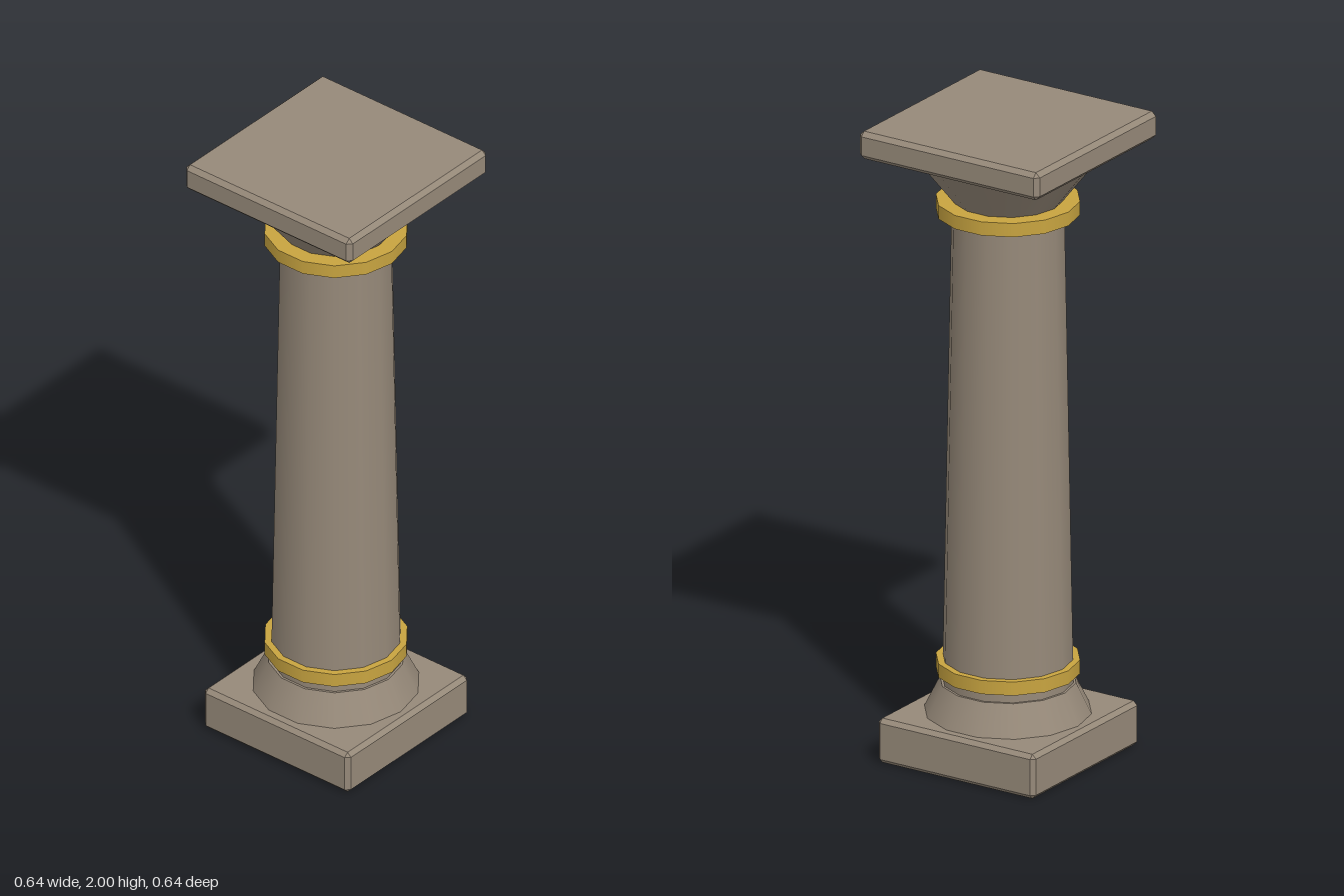
import * as THREE from 'three';
import { ConvexGeometry } from 'three/addons/geometries/ConvexGeometry.js';

const SIDES = 14;

// Square slab with all edges chamfered by c
function chamferedSlab(half, y0, y1, c) {
  const h = (y1 - y0) / 2;
  const points = [];
  for (const sx of [-1, 1]) for (const sy of [-1, 1]) for (const sz of [-1, 1]) {
    for (const [x, y, z] of [[0, c, c], [c, 0, c], [c, c, 0]]) {
      points.push(new THREE.Vector3(sx * (half - x), sy * (h - y), sz * (half - z)));
    }
  }
  return new ConvexGeometry(points).translate(0, (y0 + y1) / 2, 0);
}

// Upright drum or cone between two heights
function drum(rBottom, rTop, y0, y1) {
  return new THREE.CylinderGeometry(rTop, rBottom, y1 - y0, SIDES).translate(0, (y0 + y1) / 2, 0);
}

export function createModel() {
  const stone = new THREE.MeshStandardMaterial({ color: 0x968979 });
  stone.name = 'stone';
  const gold = new THREE.MeshStandardMaterial({ color: 0xc8a440 });
  gold.name = 'gold';

  const column = new THREE.Group();
  column.name = 'column';
  const add = (name, geometry, material) => {
    const mesh = new THREE.Mesh(geometry, material);
    mesh.name = name;
    column.add(mesh);
  };

  // Base
  add('plinth', chamferedSlab(0.28, 0, 0.14, 0.013), stone);
  add('baseFlare', drum(0.252, 0.203, 0.135, 0.235), stone);

  // Tapered shaft with a gold band near each end
  add('shaft', drum(0.196, 0.168, 0.22, 1.75), stone);
  add('lowerBand', drum(0.215, 0.215, 0.265, 0.308), gold);
  add('upperBand', drum(0.215, 0.215, 1.715, 1.758), gold);

  // Capital
  add('capitalFlare', drum(0.155, 0.29, 1.745, 1.918), stone);
  add('abacus', chamferedSlab(0.32, 1.913, 2, 0.014), stone);

  return column;
}
